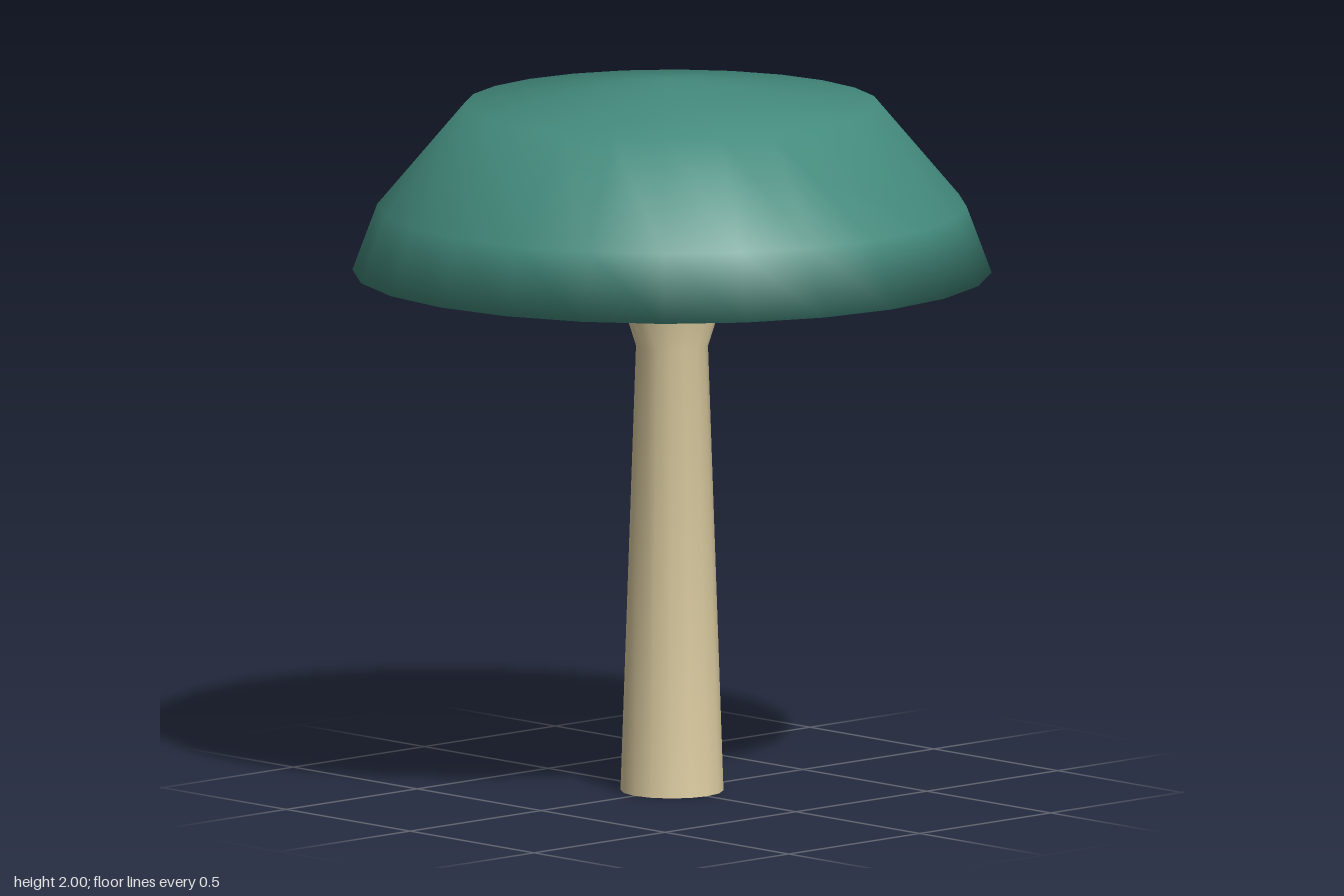
import * as THREE from 'three';

// Revolve a profile (bottom to top) and blend normals evenly across every ring
function revolve(profile, segments) {
  const pts = profile.map(([r, y]) => new THREE.Vector2(r, y));
  const geo = new THREE.LatheGeometry(pts, segments);
  const edgeNormals = pts.slice(1).map((p, i) =>
    new THREE.Vector2(p.y - pts[i].y, pts[i].x - p.x).normalize());
  const ringNormals = pts.map((p, i) => {
    const n = new THREE.Vector2();
    if (i > 0) n.add(edgeNormals[i - 1]);
    if (i < edgeNormals.length) n.add(edgeNormals[i]);
    if (p.x === 0) n.x = 0;
    return n.normalize();
  });
  const normal = geo.attributes.normal;
  for (let k = 0; k < normal.count; k++) {
    const n = ringNormals[k % pts.length];
    const a = Math.floor(k / pts.length) / segments * Math.PI * 2;
    normal.setXYZ(k, n.x * Math.sin(a), n.y, n.x * Math.cos(a));
  }
  return geo;
}

export function createModel() {
  const group = new THREE.Group();
  group.name = 'mushroom';

  const capGreen = new THREE.MeshStandardMaterial({ color: 0x438a7c });
  const stemTan = new THREE.MeshStandardMaterial({ color: 0xdfcfa3, side: THREE.DoubleSide });

  // Cap: flat underside, flared rim, shallow pointed top
  const cap = new THREE.Mesh(
    revolve([[0, 1.46], [0.887, 1.46], [0.818, 1.645], [0.576, 1.93], [0, 2]], 24), capGreen);
  cap.name = 'cap';

  // Stem: hollow, tapering up and flaring under the cap
  const stem = new THREE.Mesh(
    revolve([[0.143, 0], [0.1, 1.25], [0.166, 1.46]], 16), stemTan);
  stem.name = 'stem';

  group.add(cap, stem);
  return group;
}
